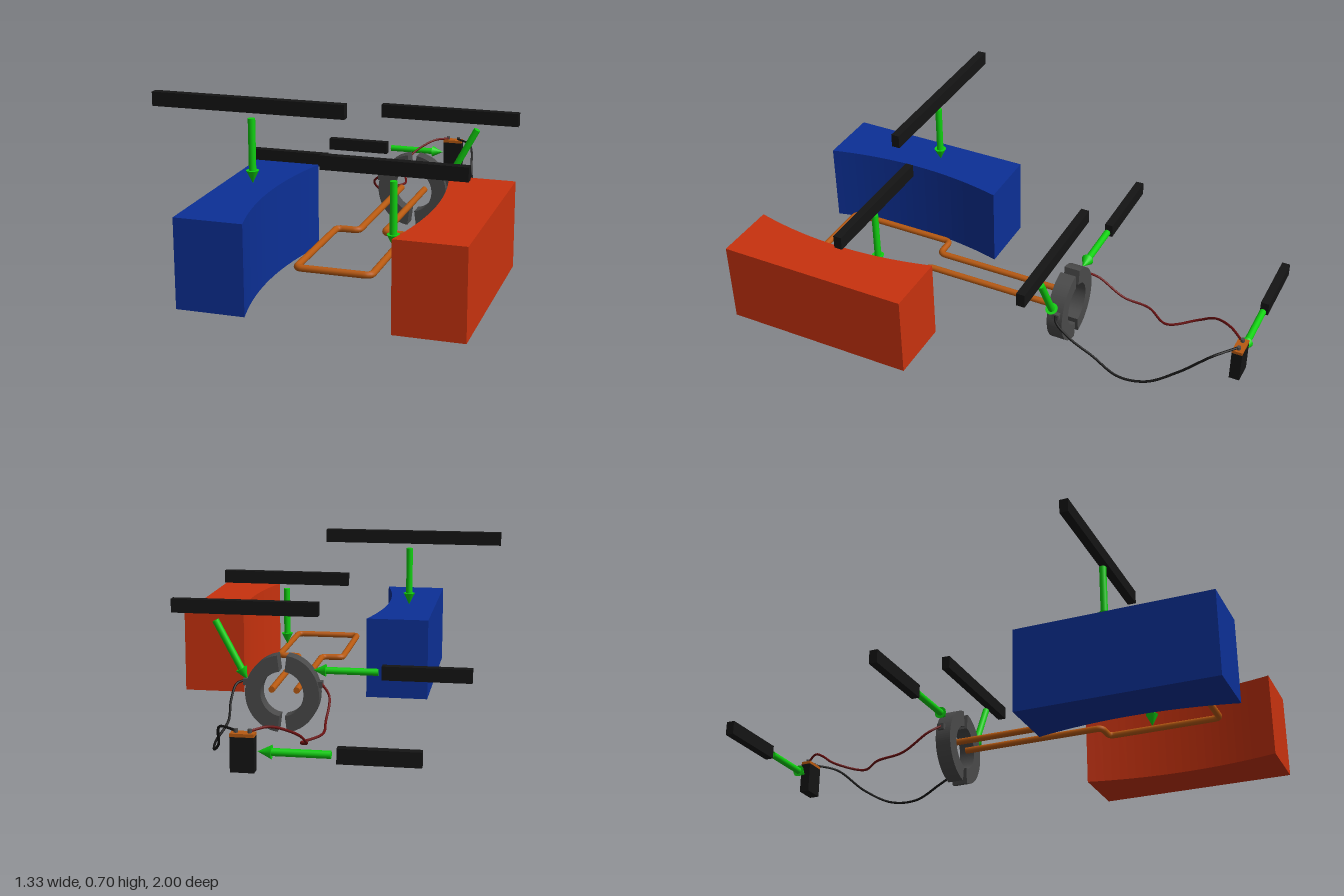
import * as THREE from 'three';

const V = (x, y, z) => new THREE.Vector3(x, y, z);
const CX = 0.14; // the machine's own axis of symmetry
const mat = (color) => new THREE.MeshStandardMaterial({ color });

const blue = mat(0x0c3096), red = mat(0xc8320e), copper = mat(0xb85a12);
const steel = mat(0x4a4a4a), black = mat(0x141414), green = mat(0x10d010), wireRed = mat(0x6a1010);

export function createModel() {
  const model = new THREE.Group();

  const add = (name, geometry, material, parent = model) => {
    const mesh = new THREE.Mesh(geometry, material);
    mesh.name = name;
    parent.add(mesh);
    return mesh;
  };
  const box = (name, w, h, d, x, y, z, material, parent) =>
    add(name, new THREE.BoxGeometry(w, h, d), material, parent).position.set(x, y, z);

  // Two magnets with concave pole faces
  const magnet = (name, s, material) => {
    const shape = new THREE.Shape();
    shape.moveTo(CX + s * 0.525, -0.21);
    shape.lineTo(CX + s * 0.525, -1);
    shape.lineTo(CX + s * 0.265, -1);
    shape.quadraticCurveTo(CX + s * 0.367, -0.605, CX + s * 0.265, -0.21);
    shape.closePath();
    const geo = new THREE.ExtrudeGeometry(shape, { depth: 0.34, bevelEnabled: false, curveSegments: 24 });
    add(name, geo.rotateX(-Math.PI / 2), material).position.y = 0.025;
  };
  magnet('leftMagnet', 1, red);
  magnet('rightMagnet', -1, blue);

  // Armature coil: a bent rod with rounded corners
  const y = 0.16;
  const half = [V(0.05, y, -0.25), V(0.05, y, 0.355), V(0.14, y, 0.355), V(0.14, y, 0.82)];
  const corners = [
    ...half.map((p) => V(CX - p.x, y, p.z)),
    ...half.map((p) => V(CX + p.x, y, p.z)).reverse(),
  ];
  const path = new THREE.CurvePath();
  let from = corners[0];
  for (let i = 1; i < corners.length - 1; i++) {
    const c = corners[i];
    const toward = (p) => c.clone().add(p.clone().sub(c).setLength(0.025));
    const a = toward(corners[i - 1]), b = toward(corners[i + 1]);
    path.add(new THREE.LineCurve3(from, a));
    path.add(new THREE.QuadraticBezierCurve3(a, c, b));
    from = b;
  }
  path.add(new THREE.LineCurve3(from, corners.at(-1)));
  add('armatureCoil', new THREE.TubeGeometry(path, 300, 0.013, 12), copper);
  for (const end of [corners[0], corners.at(-1)])
    add('coilEnd', new THREE.CircleGeometry(0.013, 12).rotateY(Math.PI), copper).position.copy(end);

  // Split ring: two half rings with a gap at top and bottom
  const gap = 0.13;
  for (const [name, start] of [['leftHalfRing', -Math.PI / 2], ['rightHalfRing', Math.PI / 2]]) {
    const a0 = start + gap, a1 = start + Math.PI - gap;
    const shape = new THREE.Shape();
    shape.absarc(0, 0, 0.155, a0, a1, false);
    shape.absarc(0, 0, 0.09, a1, a0, true);
    shape.closePath();
    const geo = new THREE.ExtrudeGeometry(shape, { depth: 0.065, bevelEnabled: false, curveSegments: 24 });
    const ring = add(name, geo, steel);
    ring.scale.x = 0.95;
    ring.position.set(CX, 0.155, -0.295);
  }

  // Carbon brushes touching the ring
  for (const s of [-1, 1]) box('carbonBrush', 0.025, 0.025, 0.03, CX + s * 0.145, 0.195, -0.27, steel);

  // Battery with a copper top and two terminals
  const battery = new THREE.Group();
  battery.name = 'battery';
  model.add(battery);
  box('batteryBody', 0.085, 0.125, 0.042, CX, 0.12, -0.977, black, battery);
  box('batteryTop', 0.085, 0.012, 0.042, CX, 0.189, -0.977, copper, battery);
  for (const s of [-1, 1]) {
    add('terminal', new THREE.CylinderGeometry(0.008, 0.008, 0.014, 12), steel, battery)
      .position.set(CX + s * 0.024, 0.201, -0.977);
  }

  // Slack wires from the battery to the brushes
  const wire = (name, points, material) =>
    add(name, new THREE.TubeGeometry(new THREE.CatmullRomCurve3(points), 120, 0.005, 8), material);
  wire('redWire', [
    V(0.116, 0.2, -0.972), V(0.06, 0.2, -0.91), V(-0.02, 0.15, -0.82), V(-0.04, 0.1, -0.75),
    V(0, 0.065, -0.63), V(-0.06, 0.07, -0.53), V(-0.055, 0.09, -0.42), V(-0.05, 0.16, -0.31), V(-0.01, 0.2, -0.265),
  ], wireRed);
  wire('blackWire', [
    V(0.164, 0.2, -0.972), V(0.24, 0.19, -0.9), V(0.275, 0.09, -0.78), V(0.32, 0.035, -0.67),
    V(0.34, 0.035, -0.56), V(0.32, 0.08, -0.44), V(0.33, 0.14, -0.35), V(0.32, 0.19, -0.285), V(0.285, 0.2, -0.265),
  ], black);

  // Pointer arrows: shaft plus cone head
  const arrow = (name, tail, tip) => {
    const length = tail.distanceTo(tip), head = 0.05;
    const group = new THREE.Group();
    group.name = name;
    add('shaft', new THREE.CylinderGeometry(0.014, 0.014, length - head, 16), green, group)
      .position.y = (length - head) / 2;
    add('head', new THREE.ConeGeometry(0.025, head, 16), green, group).position.y = length - head / 2;
    group.position.copy(tail);
    group.quaternion.setFromUnitVectors(V(0, 1, 0), tip.clone().sub(tail).normalize());
    model.add(group);
  };
  arrow('magnetArrow', V(-0.27, 0.62, 0.54), V(-0.27, 0.37, 0.54));
  arrow('coilArrow', V(0.28, 0.425, 0.54), V(0.28, 0.172, 0.54));
  arrow('ringArrow', V(-0.235, 0.25, -0.265), V(0.02, 0.25, -0.265));
  arrow('brushArrow', V(0.41, 0.435, -0.26), V(0.285, 0.2, -0.26));
  arrow('batteryArrow', V(-0.165, 0.13, -0.975), V(0.09, 0.13, -0.975));

  // Blank caption plates beside the arrows: x from, x to, y, z
  const plates = {
    magnetPlate: [-0.667, 0.096, 0.67, 0.535],
    coilPlate: [0, 0.56, 0.475, 0.535],
    ringPlate: [-0.6, -0.25, 0.25, -0.265],
    brushPlate: [0, 0.585, 0.49, -0.26],
    batteryPlate: [-0.475, -0.185, 0.13, -0.975],
  };
  for (const [name, [x0, x1, py, pz]] of Object.entries(plates))
    box(name, x1 - x0, 0.055, 0.034, (x0 + x1) / 2, py, pz, black);

  return model;
}
